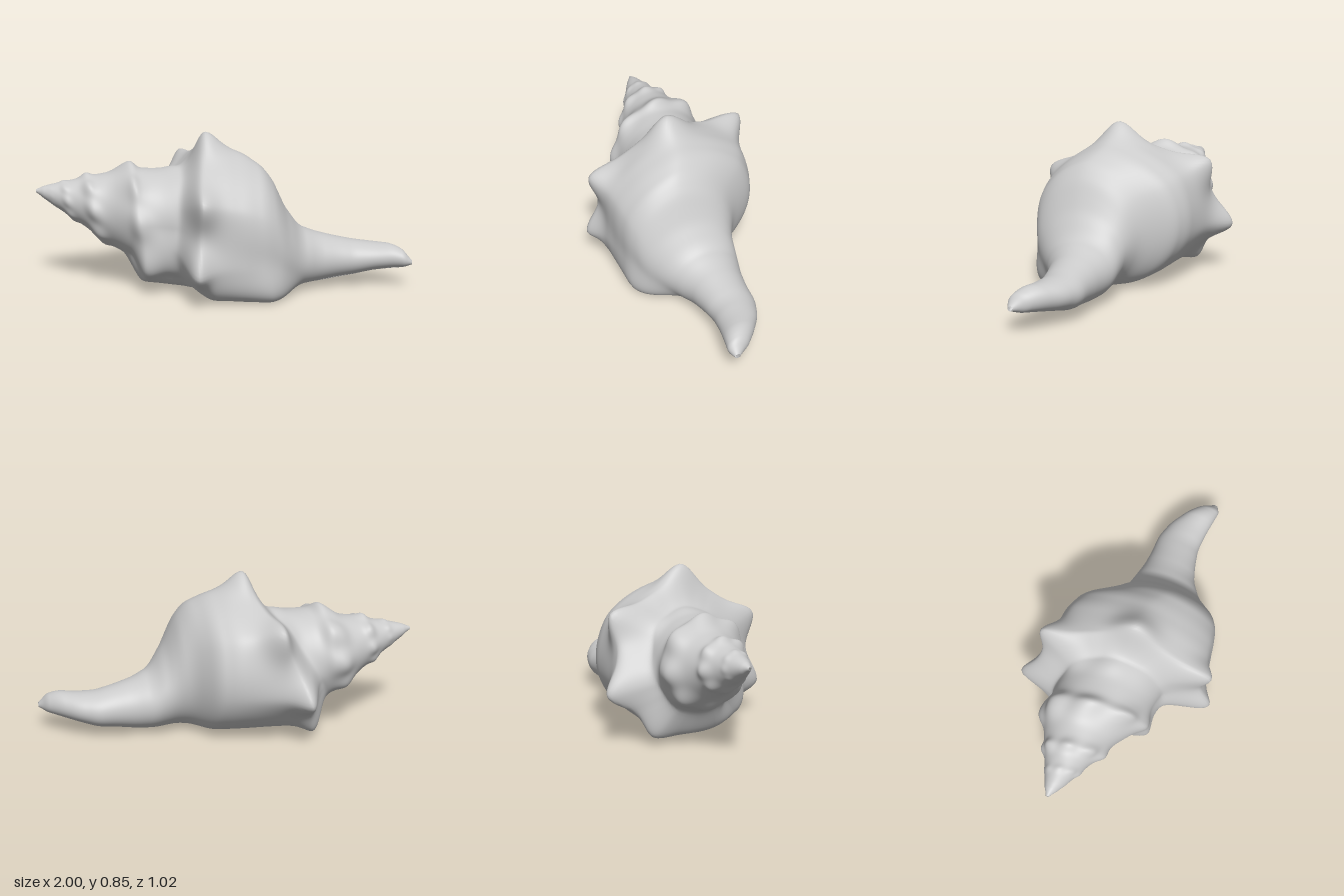
import * as THREE from 'three';

const RAD = Math.PI / 180;
const lerp = THREE.MathUtils.lerp;
const smooth = THREE.MathUtils.smoothstep;

// piecewise profile lookup: rows are [key, value, value...]
function linear(rows, k, col) {
  if (k <= rows[0][0]) return rows[0][col];
  for (let i = 1; i < rows.length; i++) {
    const a = rows[i - 1], b = rows[i];
    if (k <= b[0]) return lerp(a[col], b[col], (k - a[0]) / (b[0] - a[0]));
  }
  return rows[rows.length - 1][col];
}
// the same lookup with softened corners
function soft(rows, k, col, w = 0.025) {
  let sum = 0;
  for (let i = -2; i <= 2; i++) sum += linear(rows, k + (i * w) / 2, col);
  return sum / 5;
}

// axis of the shell: x, y, z
const AXIS = [[-1, 0.525, -0.1], [-0.9, 0.502, -0.093], [-0.8, 0.477, -0.09], [-0.6, 0.425, -0.085], [-0.45, 0.4, -0.045], [-0.2, 0.385, -0.008],
  [0, 0.38, 0.01], [0.1, 0.365, 0.027], [0.2, 0.34, 0.09], [0.27, 0.295, 0.095], [0.3, 0.25, 0.09], [0.4, 0.18, 0.045],
  [0.5, 0.165, 0.025], [0.7, 0.155, 0.01], [0.8, 0.165, 0.033], [0.9, 0.175, 0.077], [0.97, 0.165, 0.115], [1, 0.145, 0.135]];
// spire: x, radius
const SPIRE = [[-1, 0], [-0.985, 0.02], [-0.9, 0.062], [-0.8, 0.11], [-0.7, 0.16], [-0.6, 0.205], [-0.5, 0.25], [-0.4, 0.262], [-0.2, 0.27]];
// body whorl and canal: x, height radius, depth radius
const BODY = [[-0.5, 0.355, 0.385], [-0.3, 0.36, 0.41], [-0.1, 0.37, 0.41], [0, 0.37, 0.41], [0.1, 0.36, 0.387],
  [0.2, 0.33, 0.305], [0.27, 0.28, 0.265], [0.3, 0.235, 0.25], [0.4, 0.16, 0.195], [0.5, 0.135, 0.15],
  [0.6, 0.113, 0.13], [0.7, 0.095, 0.12], [0.8, 0.077, 0.106], [0.9, 0.066, 0.08], [0.975, 0.042, 0.05], [1, 0, 0]];
// x of the body shoulder against turns from the lip, front over top to back
const SHOULDER = [[-0.13, -0.19], [0, -0.18], [0.25, -0.15], [0.38, -0.23], [0.5, -0.37], [0.65, -0.45], [0.87, -0.48]];
// turn count of the spire spiral against x
const TURNS = [[-1, 5], [-0.84, 3], [-0.7, 2], [-0.59, 1.5], [-0.495, 1.25], [-0.46, 1], [-0.3, 0.5], [0, 0]];
// knobs on the body shoulder: x, angle, height
const KNOBS = [[-0.1, 85, 0.108], [-0.14, 22, 0.105], [-0.18, -24, 0.135], [-0.22, 144, 0.11], [-0.365, 194, 0.105], [-0.44, 236, 0.07]];
// angle of the inner edge of the aperture against x
const INNER_EDGE = [[-0.22, 285], [-0.1, 265], [0.05, 249], [0.27, 246], [0.38, 262], [0.55, 282]];

const LIP = -52;

// half sizes [z, y] of the cross-section at x, seen toward an angle in degrees
function radii(x, deg, flare = 1) {
  const t = deg / 360;
  const phase = soft(TURNS, x, 1) - t;
  const p = phase - Math.floor(phase);
  const crest = Math.exp(-((Math.min(p, 1 - p) / 0.22) ** 2));
  const fade = smooth(x, -0.97, -0.75) * (1 - smooth(x, -0.35, -0.15));
  const beads = 0.5 + 0.5 * Math.cos(deg * RAD * 8);
  // the whorl behind the lip swells down toward the body
  const swell = 0.08 * smooth(x, -0.5, -0.42) * (1 - smooth(deg, LIP, 0));
  const s = soft(SPIRE, x, 1) * (1 + fade * (crest * (0.08 + 0.09 * beads) - 0.045)) + swell;

  const edge = soft(SHOULDER, t, 1, 0.08);
  const b = smooth(x, edge - 0.075, edge + 0.04);
  let h = 0;
  for (const [kx, ka, kh] of KNOBS) {
    const d = Math.abs(((deg - ka + 540) % 360) - 180) / 14;
    const dx = x - kx;
    const ridge = Math.exp(-((dx / (dx < 0 ? 0.055 : 0.08)) ** 2)) + (dx > 0 ? 0.28 * Math.exp(-((dx / 0.25) ** 2)) * (1 - Math.exp(-((dx / 0.08) ** 2))) : 0);
    h += kh * Math.exp(-Math.pow(d, 1.7)) * ridge;
  }
  // outer lip flares toward the ground
  h += 0.1 * Math.exp(-(((deg + 46) / 19) ** 2)) * smooth(x, -0.24, -0.06) * (1 - smooth(x, 0.22, 0.42));
  return [lerp(s, soft(BODY, x, 2), b) + h * flare, lerp(s, soft(BODY, x, 1), b) + h * flare];
}

// one closed cross-section: outer wall, then the hollow of the aperture
function ring(x, nOuter, nInner) {
  const cy = soft(AXIS, x, 1), cz = soft(AXIS, x, 2);
  const end = soft(INNER_EDGE, x, 1, 0.06);
  const open = smooth(x, -0.2, -0.06) * lerp(1, 0.6, smooth(x, 0.28, 0.5)) * (1 - smooth(x, 0.97, 1));
  const pts = [];
  const put = (u, v, e) => pts.push([x, cy + v * e[1], cz + u * e[0]]);
  for (let j = 0; j < nOuter; j++) {
    const deg = lerp(LIP, end, j / nOuter);
    put(Math.cos(deg * RAD), Math.sin(deg * RAD), radii(x, deg));
  }
  const a = end * RAD, l = LIP * RAD;
  const hollow = new THREE.CatmullRomCurve3([
    [Math.cos(a), Math.sin(a)], [Math.cos(a) * 0.6 + 0.1, -0.6], [0.14, -0.15], [0.5, 0.08],
    [0.84, -0.08], [0.86, -0.4], [Math.cos(l), Math.sin(l)]].map(([u, v]) => new THREE.Vector3(u, v, 0)));
  const e0 = radii(x, end);
  for (let j = 0; j < nInner; j++) {
    const s = j / nInner, f = smooth(s, 0, 1);
    // inside, the flare only reaches the rim, so the wall keeps its thickness
    const e1 = radii(x, LIP, lerp(1, smooth(s, 0.72, 1), open));
    const deg = lerp(end, LIP + 360, s) * RAD;
    const q = hollow.getPoint(s);
    put(lerp(Math.cos(deg), q.x, open), lerp(Math.sin(deg), q.y, open), [lerp(e0[0], e1[0], f), lerp(e0[1], e1[1], f)]);
  }
  return pts;
}

export function createModel() {
  const group = new THREE.Group();
  group.name = 'seaShell';
  const rows = 220, nOuter = 150, nInner = 60, n = nOuter + nInner;
  const positions = [], index = [];
  for (let i = 0; i <= rows; i++) {
    // stations gather toward both tips
    const u = (i / rows) * 2 - 1;
    const x = lerp(u, Math.sin((u * Math.PI) / 2), 0.4);
    for (const p of ring(x, nOuter, nInner)) positions.push(...p);
  }
  for (let i = 0; i < rows; i++) {
    for (let j = 0; j < n; j++) {
      const k = (j + 1) % n;
      const a = i * n + j, b = a + n, c = i * n + k, d = c + n;
      index.push(a, b, c, b, d, c);
    }
  }
  const geometry = new THREE.BufferGeometry();
  geometry.setAttribute('position', new THREE.Float32BufferAttribute(positions, 3));
  geometry.setIndex(index);
  geometry.computeBoundingBox();
  geometry.translate(0, -geometry.boundingBox.min.y, 0);
  geometry.computeVertexNormals();

  const shell = new THREE.Mesh(geometry, new THREE.MeshStandardMaterial({ color: 0xcccccc, side: THREE.DoubleSide }));
  shell.name = 'shell';
  group.add(shell);
  return group;
}
